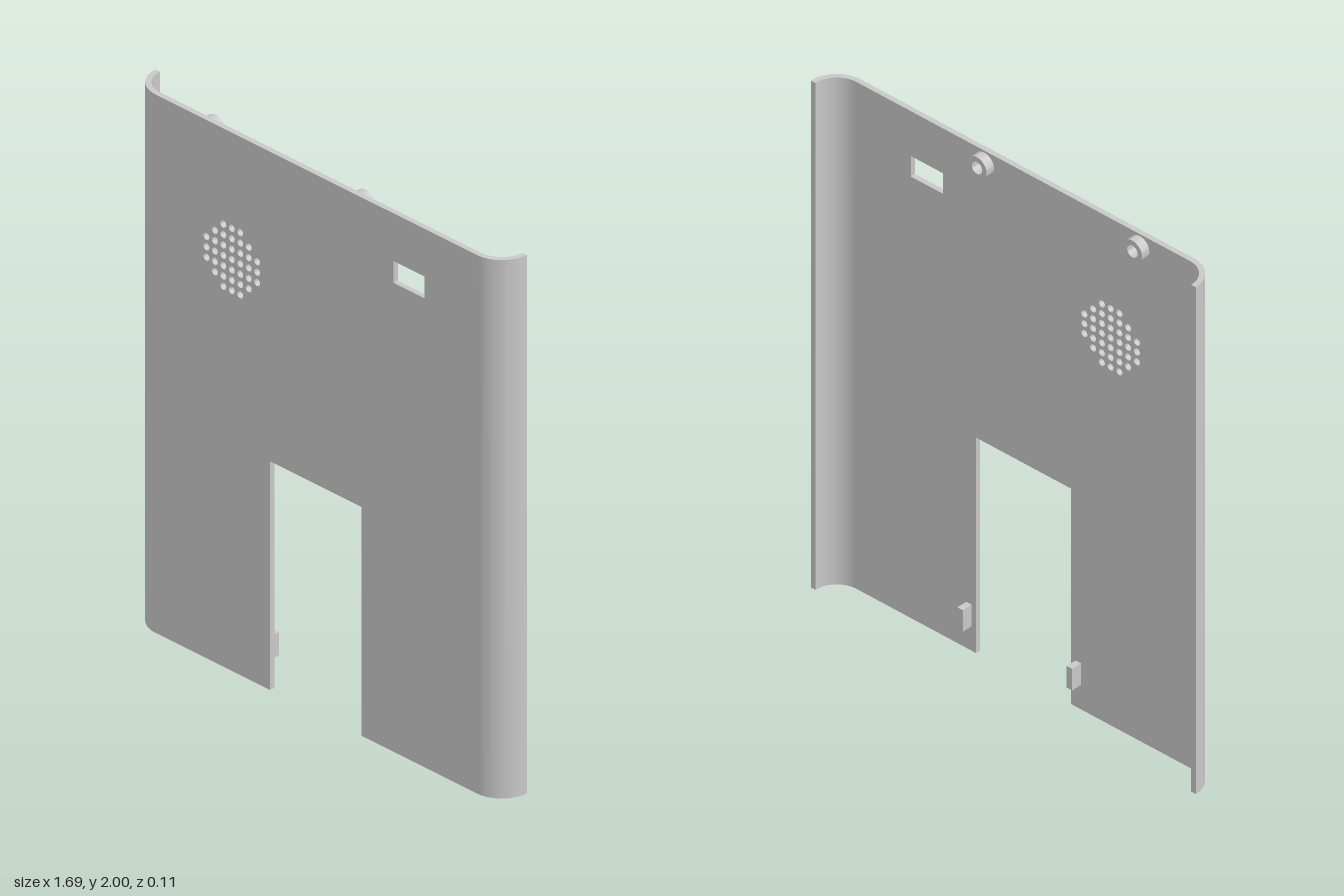
import * as THREE from 'three';
import { toCreasedNormals } from 'three/addons/utils/BufferGeometryUtils.js';

const HEIGHT = 2, FRONT = 0.057, THICK = 0.02, BACK = FRONT - THICK;
const FLAT = 0.731, RADIUS = 0.114;

function rectPath(x0, y0, x1, y1) {
  const p = new THREE.Path();
  p.moveTo(x0, y0).lineTo(x0, y1).lineTo(x1, y1).lineTo(x1, y0).closePath();
  return p;
}

function circlePath(x, y, r) {
  return new THREE.Path().absarc(x, y, r, 0, Math.PI * 2, true);
}

export function createModel() {
  const group = new THREE.Group();
  const grey = new THREE.MeshStandardMaterial({ color: 0xc8c8c8 });
  grey.name = 'panel light grey';

  const add = (name, geometry, x = 0, y = 0, z = 0) => {
    const mesh = new THREE.Mesh(geometry, grey);
    mesh.name = name;
    mesh.position.set(x, y, z);
    group.add(mesh);
  };
  const extrude = (shape, depth, curveSegments) => toCreasedNormals(
    new THREE.ExtrudeGeometry(shape, { depth, bevelEnabled: false, curveSegments }), 0.6);

  // flat sheet with a doorway notch in its lower edge
  const sheet = new THREE.Shape();
  sheet.moveTo(-FLAT, 0).lineTo(-0.21, 0).lineTo(-0.21, 0.85).lineTo(0.207, 0.85)
    .lineTo(0.207, 0).lineTo(FLAT, 0).lineTo(FLAT, HEIGHT).lineTo(-FLAT, HEIGHT).closePath();

  // small window
  sheet.holes.push(rectPath(0.352, 1.742, 0.493, 1.823));

  // round speaker grille of small holes
  const pitch = 0.0385;
  [3, 5, 7, 7, 7, 5, 3].forEach((count, row) => {
    for (let i = 0; i < count; i++) {
      const x = -0.384 + (i - (count - 1) / 2) * pitch;
      sheet.holes.push(circlePath(x, 1.529 + (3 - row) * pitch, 0.0135));
    }
  });
  add('frontSheet', extrude(sheet, THICK, 10), 0, 0, BACK);

  // quarter-round side edges curling backwards
  for (const side of [1, -1]) {
    const angle = (a) => (side > 0 ? a : Math.PI - a);
    const centre = RADIUS - FRONT;
    const arc = new THREE.Shape();
    arc.absarc(side * FLAT, centre, RADIUS, angle(-Math.PI / 2), angle(0), side < 0);
    arc.absarc(side * FLAT, centre, RADIUS - THICK, angle(0), angle(-Math.PI / 2), side > 0);
    arc.closePath();
    add(side > 0 ? 'leftCurvedEdge' : 'rightCurvedEdge',
      extrude(arc, HEIGHT, 24).rotateX(-Math.PI / 2));
  }

  // hollow round bosses behind the top edge
  const ring = new THREE.Shape().absarc(0, 0, 0.042, 0, Math.PI * 2, false);
  ring.holes.push(circlePath(0, 0, 0.023));
  for (const x of [-0.512, 0.17]) add('mountingBoss', extrude(ring, BACK - 0.002, 24), x, 1.95, 0.002);

  // small tabs on both sides of the doorway
  for (const x of [-0.242, 0.238])
    add('doorTab', new THREE.BoxGeometry(0.024, 0.085, 0.042), x, 0.139, BACK - 0.021);

  return group;
}
